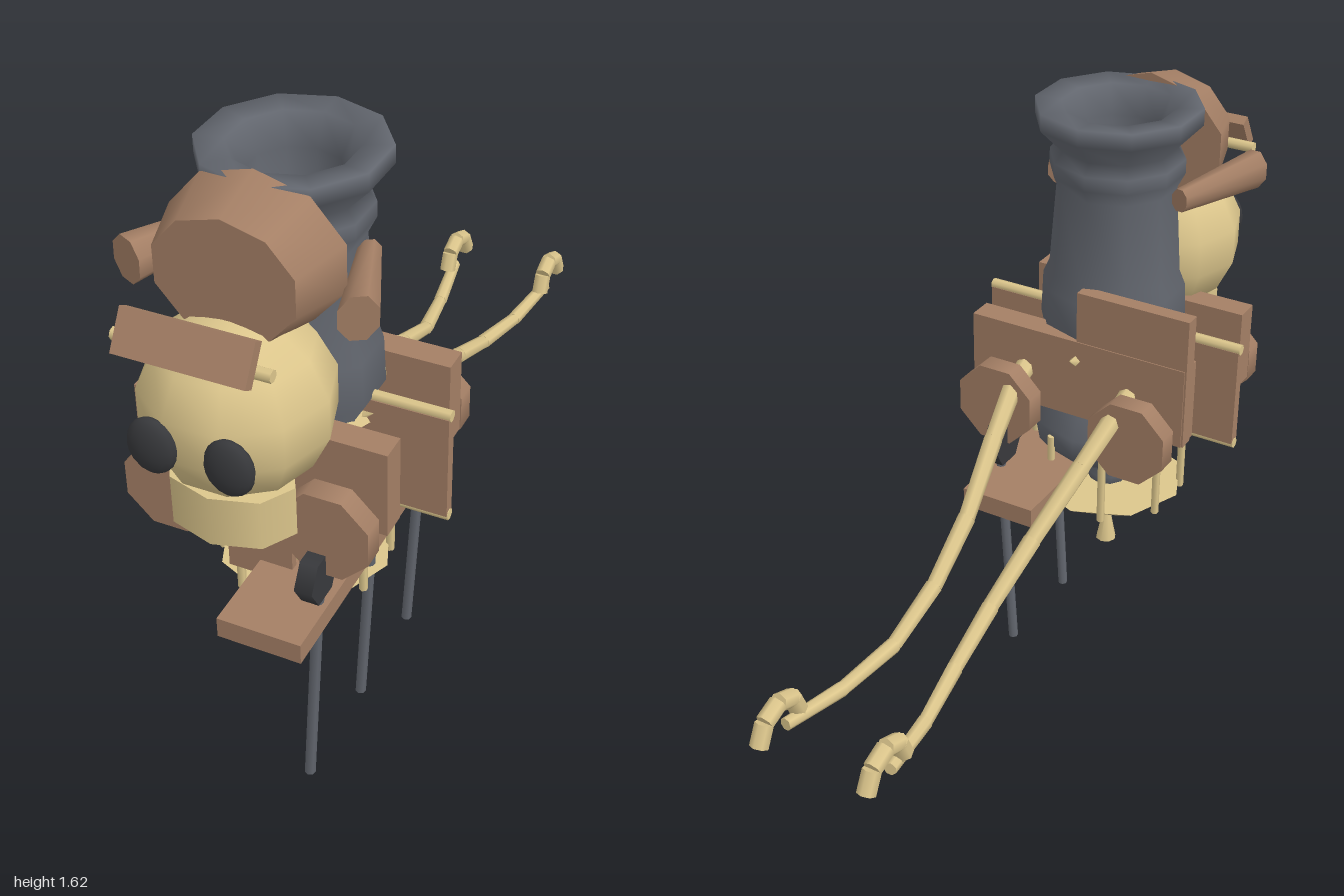
import * as THREE from 'three';

const mat = (name, color) => {
  const m = new THREE.MeshStandardMaterial({ color });
  m.name = name;
  return m;
};

export function createModel() {
  const root = new THREE.Group();
  const iron = mat('iron grey', 0x62666e);
  const dark = mat('dark iron', 0x38393c);
  const wood = mat('brown wood', 0xa47f65);
  const bone = mat('pale bone', 0xdcc68c);
  const CZ = 0.465; // depth of the barrel axis

  const add = (name, geo, material, x = 0, y = 0, z = 0) => {
    const m = new THREE.Mesh(geo, material);
    m.name = name;
    m.position.set(x, y, z);
    root.add(m);
    return m;
  };
  const box = (name, material, x0, x1, y0, y1, z0, z1) =>
    add(name, new THREE.BoxGeometry(x1 - x0, y1 - y0, z1 - z0), material,
      (x0 + x1) / 2, (y0 + y1) / 2, (z0 + z1) / 2);
  // Tapered rod from point a to point b
  const rod = (name, material, a, b, ra, rb = ra, sides = 7) => {
    const p = new THREE.Vector3(...a), q = new THREE.Vector3(...b);
    const d = q.clone().sub(p);
    const m = add(name, new THREE.CylinderGeometry(rb, ra, d.length(), sides), material);
    m.position.copy(p).add(q).multiplyScalar(0.5);
    m.quaternion.setFromUnitVectors(new THREE.Vector3(0, 1, 0), d.normalize());
    return m;
  };

  // Upright barrel with flared muzzle, hollow bore, round breech and knob
  const profile = [
    [0, 0.425], [0.045, 0.435], [0.068, 0.49], [0.045, 0.54], [0.09, 0.555], [0.18, 0.59],
    [0.218, 0.64], [0.218, 0.69], [0.19, 0.75], [0.17, 0.8], [0.17, 0.93], [0.2, 0.98],
    [0.195, 1.1], [0.178, 1.14], [0.16, 1.38], [0.18, 1.42], [0.18, 1.46], [0.158, 1.49],
    [0.22, 1.555], [0.22, 1.6], [0.15, 1.595], [0.115, 1.52], [0.11, 1.25], [0, 1.25],
  ].map(([r, y]) => new THREE.Vector2(r, y));
  add('barrel', new THREE.LatheGeometry(profile, 10), iron, 0, 0, CZ);

  // Spiked collar around the barrel
  add('collar', new THREE.CylinderGeometry(0.175, 0.195, 0.03, 8), bone, 0, 0.925, CZ);
  for (let i = 0; i < 8; i++) {
    const a = (i * Math.PI) / 4, s = Math.sin(a), c = Math.cos(a);
    rod('collarSpike', bone, [s * 0.16, 0.925, CZ + c * 0.16], [s * 0.24, 0.955, CZ + c * 0.24], 0.035, 0.002, 4);
  }

  // Hanging dish with its posts and drop
  add('dish', new THREE.CylinderGeometry(0.222, 0.08, 0.095, 8), bone, 0, 0.4125, CZ);
  add('dishDrop', new THREE.CylinderGeometry(0.004, 0.03, 0.13, 8), bone, 0, 0.3, CZ);
  for (let i = 0; i < 8; i++) {
    const a = ((i + 0.5) * Math.PI) / 4, x = Math.sin(a) * 0.21, z = CZ + Math.cos(a) * 0.21;
    rod('dishPost', bone, [x, 0.44, z], [x, 0.67, z], 0.011, 0.011, 6);
  }

  // Head, eyes and jaw
  add('head', new THREE.SphereGeometry(0.225, 10, 7), bone, 0, 1.12, 0.76);
  const jaw = add('jaw', new THREE.CylinderGeometry(1, 1, 0.13, 8), bone, 0, 0.885, 0.81);
  jaw.scale.set(0.158, 1, 0.11);
  for (const s of [-1, 1]) {
    const eye = add('eye', new THREE.SphereGeometry(1, 14, 10), dark, s * 0.092, 1.105, 0.972);
    eye.scale.set(0.06, 0.071, 0.028);
  }

  // Cap, with a tilted peak on a rod and a flap at each side
  const cap = add('cap', new THREE.CylinderGeometry(0.148, 0.187, 0.15, 10), wood, 0, 1.433, 0.72);
  cap.rotation.x = Math.PI / 2;
  cap.scale.x = 1.18;
  const peak = add('capPeak', new THREE.BoxGeometry(0.31, 0.1, 0.03), wood, 0, 1.375, 0.96);
  peak.rotation.x = -0.55;
  rod('peakRod', bone, [-0.185, 1.343, 0.937], [0.185, 1.343, 0.937], 0.015);
  for (const s of [-1, 1]) {
    const flap = rod('capFlap', wood, [s * 0.18, 1.365, 0.47], [s * 0.275, 1.378, 0.73], 0.035, 0.058, 8);
    flap.scale.x = 0.8;
  }

  // Planks clamping the barrel
  box('frontPlank', wood, -0.32, 0.32, 0.77, 1.0, 0.615, 0.685);
  box('backPlank', wood, -0.32, 0.32, 0.77, 1.0, 0.255, 0.325);
  box('tallBackPlank', wood, -0.325, 0, 0.77, 1.145, 0.258, 0.3);
  box('crossPanel', wood, -0.383, 0.383, 0.69, 0.975, 0.455, 0.485);
  for (const y of [0.688, 0.98]) rod('crossRod', bone, [-0.385, y, 0.47], [0.385, y, 0.47], 0.015);
  box('frontStrap', wood, -0.085, 0.085, 0.55, 0.83, 0.685, 0.705);

  // Corner wheels joined by dark beams
  for (const s of [-1, 1]) {
    for (const z of [0.74, 0.195]) {
      const wheel = add('cornerWheel', new THREE.CylinderGeometry(0.12, 0.12, 0.058, 8), wood, s * 0.2, 0.79, z);
      wheel.geometry.rotateY(Math.PI / 8).rotateX(Math.PI / 2);
    }
    rod('sideBeam', dark, [s * 0.2, 0.77, 0.21], [s * 0.2, 0.77, 0.73], 0.015);
  }

  // Foot board carried on three poles along the left side
  box('footBoard', wood, 0, 0.213, 0.54, 0.595, 0.02, 0.92);
  for (const z of [0.775, 0.475, 0.175]) {
    rod('pole', iron, [0.15, 0, z], [0.188, 0.62, z], 0.014);
    if (z === 0.475) continue;
    const nut = add('poleNut', new THREE.CylinderGeometry(0.068, 0.068, 0.045, 6), dark, 0.183, 0.677, z);
    nut.geometry.rotateZ(Math.PI / 2);
  }

  // Long jointed tails, each ending in a hook
  const tail = [
    [0.16, 0.89, 0.3], [0.155, 0.845, 0.18], [0.135, 0.765, 0.05], [0.1, 0.637, -0.145],
    [0.085, 0.54, -0.33], [0.09, 0.472, -0.51], [0.12, 0.45, -0.69], [0.15, 0.467, -0.88],
  ];
  const hook = [
    [0.152, 0.475, -0.825], [0.152, 0.525, -0.845], [0.152, 0.545, -0.895],
    [0.152, 0.525, -0.95], [0.152, 0.472, -0.978],
  ];
  for (const s of [-1, 1]) {
    const side = ([x, y, z]) => [s * x, y, z];
    for (let i = 0; i < tail.length - 1; i++)
      rod('tailSegment', bone, side(tail[i]), side(tail[i + 1]), 0.029 - i * 0.0015, 0.026 - i * 0.0015);
    for (let i = 0; i < hook.length - 1; i++)
      rod('tailHook', bone, side(hook[i]), side(hook[i + 1]), 0.024, 0.024);
  }
  return root;
}
